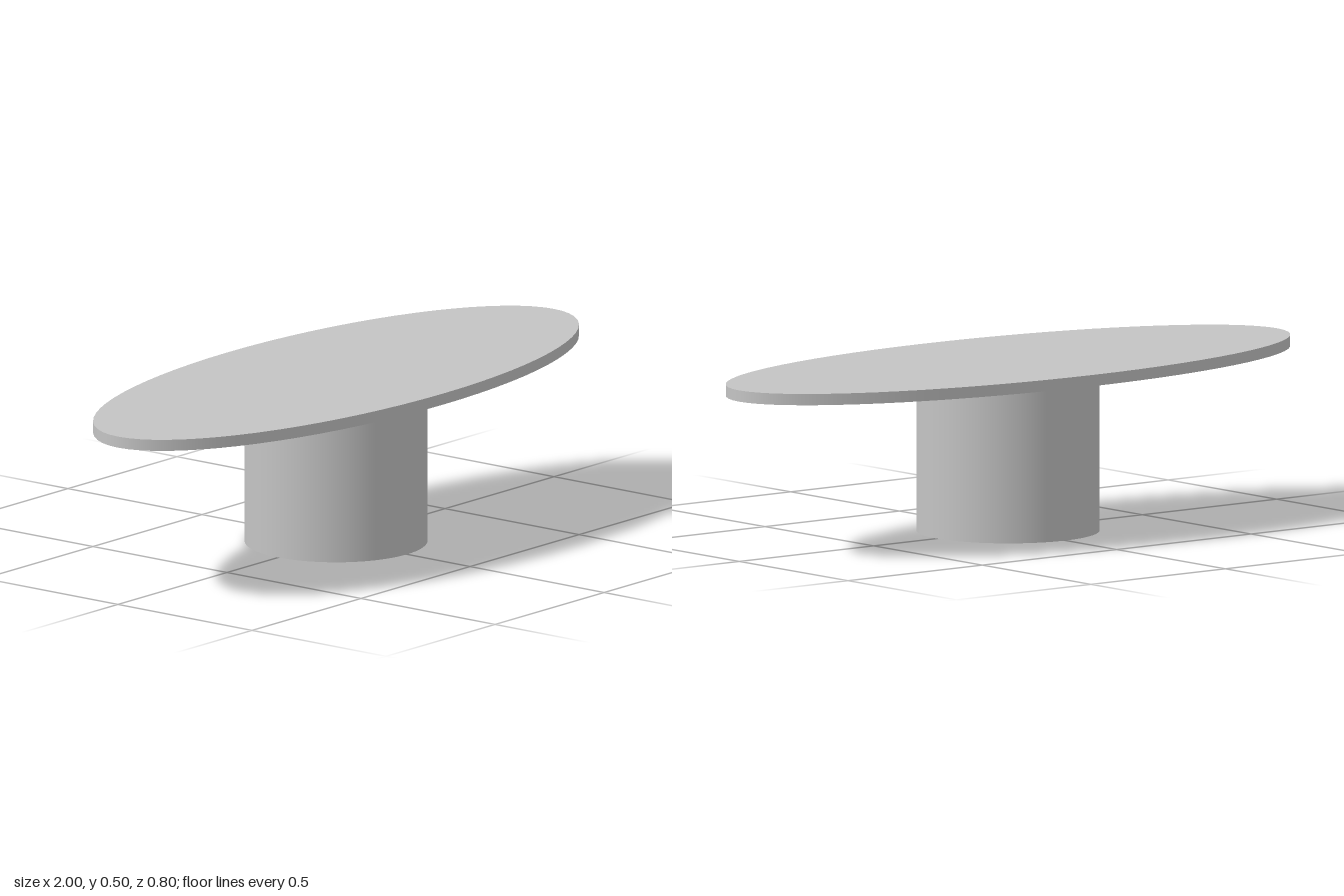
import * as THREE from 'three';

const SIDES = 72;
const BASE_RADIUS = 0.265;
const BASE_HEIGHT = 0.467;
const TOP_HEIGHT = 0.5;
const TOP_DEPTH_RATIO = 0.4;

export function createModel() {
  const table = new THREE.Group();
  table.name = 'ovalTable';

  const grey = new THREE.MeshStandardMaterial({ color: 0xc4c4c4 });
  grey.name = 'light grey';

  // Round drum pedestal standing on the ground
  const pedestal = new THREE.Mesh(
    new THREE.CylinderGeometry(BASE_RADIUS, BASE_RADIUS, BASE_HEIGHT, SIDES), grey);
  pedestal.name = 'pedestal';
  pedestal.position.y = BASE_HEIGHT / 2;
  table.add(pedestal);

  // Thin elliptical top: a disc squashed front to back
  const thickness = TOP_HEIGHT - BASE_HEIGHT;
  const topGeometry = new THREE.CylinderGeometry(1, 1, thickness, SIDES);
  topGeometry.scale(1, 1, TOP_DEPTH_RATIO);
  const top = new THREE.Mesh(topGeometry, grey);
  top.name = 'tableTop';
  top.position.y = BASE_HEIGHT + thickness / 2;
  table.add(top);

  return table;
}
